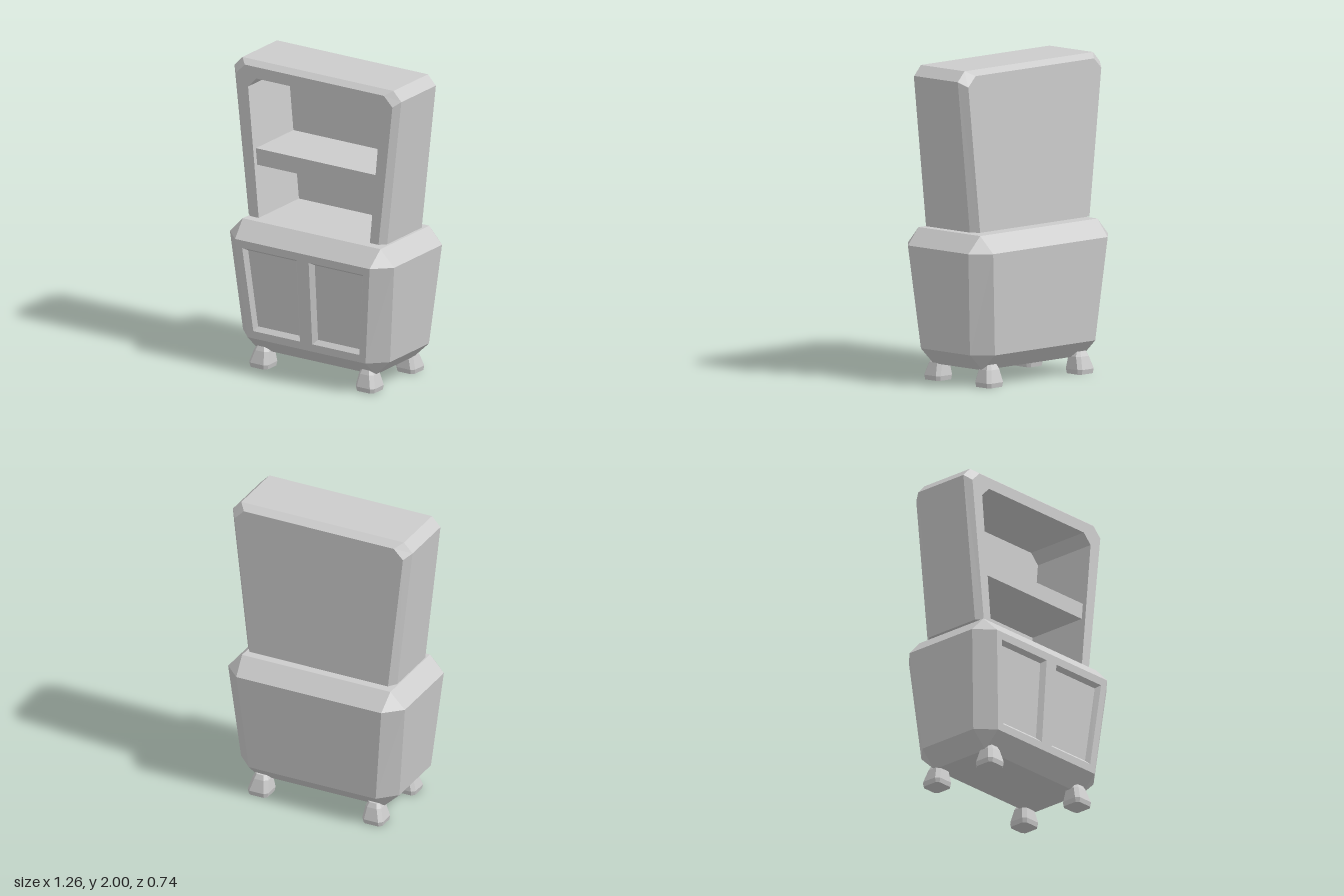
import * as THREE from 'three';

const material = new THREE.MeshStandardMaterial({ color: 0xcccccc, flatShading: true });

// Quad strips between consecutive rings of [x, y, z] points; skip(ring, side) leaves a side open.
function loft(rings, closed = true, skip = () => false) {
  const pos = [];
  const same = (p, q) => p.every((v, k) => v === q[k]);
  const tri = (p, q, r) => {
    if (!same(p, q) && !same(q, r) && !same(p, r)) pos.push(...p, ...q, ...r);
  };
  for (let r = 0; r < rings.length - 1; r++) {
    const a = rings[r], b = rings[r + 1], n = a.length;
    for (let i = 0; i < (closed ? n : n - 1); i++) {
      if (skip(r, i)) continue;
      const j = (i + 1) % n;
      tri(a[i], a[j], b[j]);
      tri(a[i], b[j], b[i]);
    }
  }
  const g = new THREE.BufferGeometry();
  g.setAttribute('position', new THREE.Float32BufferAttribute(pos, 3));
  g.computeVertexNormals();
  return g;
}

const shapeOf = (pts) => new THREE.Shape(pts.map(([x, y]) => new THREE.Vector2(x, y)));

// Flat face from 2D points, with z given by a function of y.
function face(pts, zAt, holes = []) {
  const s = shapeOf(pts);
  holes.forEach((h) => s.holes.push(shapeOf(h)));
  const g = new THREE.ShapeGeometry(s);
  const p = g.attributes.position;
  for (let i = 0; i < p.count; i++) p.setZ(i, zAt(p.getY(i)));
  g.computeVertexNormals();
  return g;
}

// Horizontal face from [x, z] points, looking down or up.
function flat(pts, y, up) {
  const g = new THREE.ShapeGeometry(shapeOf(up ? pts.map(([x, z]) => [x, -z]) : pts));
  return g.rotateX(up ? -Math.PI / 2 : Math.PI / 2).translate(0, y, 0);
}

// Chamfered rectangle: outer half sizes X, Z and where the straight sides end.
const octagon = (y, X, Z, xi, zi, cx = 0, cz = 0) => [
  [-xi, Z], [xi, Z], [X, zi], [X, -zi], [xi, -Z], [-xi, -Z], [-X, -zi], [-X, zi],
].map(([x, z]) => [cx + x, y, cz + z]);

const mirrorX = (pts) => [...pts, ...pts.map(([x, y]) => [-x, y]).reverse()];
const rect = (X, Z) => [[-X, -Z], [X, -Z], [X, Z], [-X, Z]];

export function createModel() {
  const model = new THREE.Group();
  const add = (parent, name, geometry) => {
    const m = new THREE.Mesh(geometry, material);
    m.name = name;
    parent.add(m);
    return m;
  };
  const group = (name) => {
    const g = new THREE.Group();
    g.name = name;
    model.add(g);
    return g;
  };

  // Lower cabinet: bevelled box widening upward, front side left open for the doors
  const cabinet = group('lowerCabinet');
  add(cabinet, 'cabinetBody', loft([
    octagon(0.105, 0.445, 0.215, 0.445, 0.215),
    octagon(0.21, 0.555, 0.325, 0.445, 0.215),
    octagon(0.86, 0.62, 0.372, 0.508, 0.265),
    octagon(0.965, 0.52, 0.27, 0.52, 0.27),
  ], true, (ring, side) => ring === 1 && side === 0));
  add(cabinet, 'cabinetTop', flat(rect(0.52, 0.27), 0.965, true));
  add(cabinet, 'cabinetBottom', flat(rect(0.445, 0.215), 0.105, false));

  // Sloped front with two recessed door panels
  const frontZ = (y) => 0.325 + (y - 0.21) * (0.047 / 0.65);
  const recessZ = (y) => frontZ(y) - 0.03;
  const flip = (pts) => pts.map(([x, y]) => [-x, y]).reverse();
  const outer = [[0.045, 0.26], [0.4, 0.26], [0.457, 0.81], [0.045, 0.81]];
  const inner = [[0.07, 0.287], [0.383, 0.287], [0.433, 0.79], [0.07, 0.79]];
  add(cabinet, 'doorFrame', face(
    [[-0.445, 0.21], [0.445, 0.21], [0.508, 0.86], [-0.508, 0.86]],
    frontZ, [outer, flip(outer)]));
  for (const [name, o, n] of [['left', outer, inner], ['right', flip(outer), flip(inner)]]) {
    add(cabinet, name + 'DoorRim', loft([
      o.map(([x, y]) => [x, y, frontZ(y)]),
      n.map(([x, y]) => [x, y, recessZ(y)]),
    ]));
    add(cabinet, name + 'DoorPanel', face(n, recessZ));
  }

  // Upper hutch: tapered shell with bevelled edges, open at the front and below
  const hutch = group('upperHutch');
  const base = 0.978, zFront = 0.24, zBack = -0.235, zInside = -0.205;
  const wide = mirrorX([[0.523, base], [0.63, 1.937], [0.57, 2]]);
  const narrow = mirrorX([[0.485, base], [0.59, 1.905], [0.525, 1.97]]);
  const opening = mirrorX([[0.42, base], [0.5, 1.83], [0.438, 1.895]]);
  const at = (pts, z) => pts.map(([x, y]) => [x, y, z]);
  add(hutch, 'hutchShell', loft(
    [at(narrow, zBack), at(wide, -0.182), at(wide, 0.2), at(narrow, zFront)], false));
  add(hutch, 'hutchFrontFrame', face([...narrow, ...[...opening].reverse()], () => zFront));
  add(hutch, 'hutchInnerWalls', loft([at(opening, zFront), at(opening, zInside)], false));
  add(hutch, 'hutchInnerBack', face(opening, () => zInside));
  add(hutch, 'hutchBack', face(narrow, () => 0).rotateY(Math.PI).translate(0, 0, zBack));
  add(hutch, 'hutchUnderside', flat(mirrorX([
    [0.42, zInside], [0.42, zFront], [0.485, zFront], [0.523, 0.2],
    [0.523, -0.182], [0.485, zBack],
  ].reverse()).map((p) => p), base, false));

  // Shelf fitted to the slanting inner walls
  add(hutch, 'shelf', new THREE.ExtrudeGeometry(
    shapeOf([[-0.452, 1.315], [0.452, 1.315], [0.462, 1.422], [-0.462, 1.422]]),
    { depth: 0.415, bevelEnabled: false }).translate(0, 0, zInside));

  // Four flared feet with chamfered corners
  for (const sx of [1, -1]) {
    for (const cz of [0.213, -0.23]) {
      const ring = (y, h, c, out) =>
        octagon(y, h, h, h - c, h - c, sx * (0.4 + out), cz + Math.sign(cz) * out);
      const rings = [
        ring(0, 0.066, 0.018, 0.002), ring(0.03, 0.072, 0.022, 0.002),
        ring(0.11, 0.055, 0.022, -0.004), ring(0.14, 0.04, 0.016, -0.004),
      ];
      const foot = group((cz > 0 ? 'front' : 'back') + (sx > 0 ? 'Left' : 'Right') + 'Foot');
      const xz = (r) => r.map(([x, , z]) => [x, z]);
      add(foot, 'footSides', loft(rings));
      add(foot, 'footSole', flat(xz(rings[0]), 0, false));
      add(foot, 'footTop', flat(xz(rings[3]), 0.14, true));
    }
  }
  return model;
}
